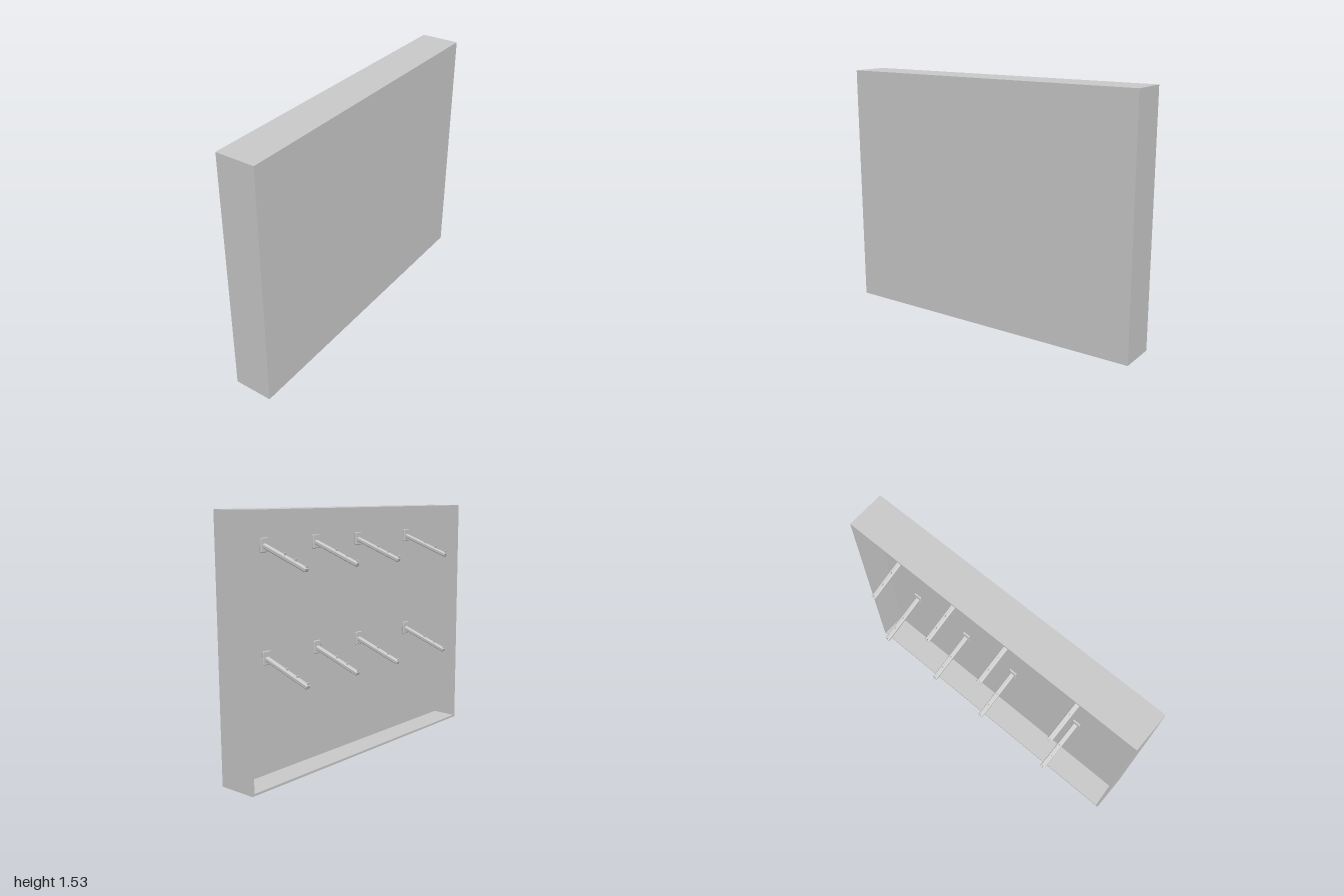
import * as THREE from 'three';
import { RoundedBoxGeometry } from 'three/addons/geometries/RoundedBoxGeometry.js';

const material = new THREE.MeshStandardMaterial({ color: 0xcccccc });

function addMesh(parent, name, geometry, x, y, z) {
  const mesh = new THREE.Mesh(geometry, material);
  mesh.name = name;
  mesh.position.set(x, y, z);
  parent.add(mesh);
  return mesh;
}

const HEIGHT = 1.535, LENGTH = 2;
const OPEN_X = -0.04, BACK_X = 0.125, OUTER_X = 0.205; // rim, inner panel face, outer face
const WALL = 0.014;

// Shallow tray standing on edge, open towards -x
function createCase() {
  const group = new THREE.Group();
  group.name = 'case';
  const shape = new THREE.Shape();
  const hole = new THREE.Path();
  const rect = (path, w, y0, y1) => {
    path.moveTo(-w, y0);
    path.lineTo(w, y0);
    path.lineTo(w, y1);
    path.lineTo(-w, y1);
    path.closePath();
  };
  rect(shape, LENGTH / 2, 0, HEIGHT);
  rect(hole, LENGTH / 2 - WALL, WALL, HEIGHT - WALL);
  shape.holes.push(hole);
  const rim = new THREE.ExtrudeGeometry(shape, { depth: BACK_X - OPEN_X, bevelEnabled: false });
  rim.rotateY(Math.PI / 2);
  addMesh(group, 'rimWalls', rim, OPEN_X, 0, 0);
  addMesh(group, 'backPanel', new THREE.BoxGeometry(OUTER_X - BACK_X, HEIGHT, LENGTH),
    (BACK_X + OUTER_X) / 2, HEIGHT / 2, 0);
  return group;
}

// Display arm sloping down and outwards, with a wall plate and small stop pegs
function createArm() {
  const group = new THREE.Group();
  group.name = 'displayArm';
  const length = 0.35, thick = 0.024, width = 0.03;
  addMesh(group, 'wallPlate', new RoundedBoxGeometry(0.014, 0.08, 0.056, 2, 0.004), -0.007, 0, 0);

  const sloped = new THREE.Group();
  sloped.name = 'slopedBar';
  sloped.rotation.z = THREE.MathUtils.degToRad(20);
  group.add(sloped);
  addMesh(sloped, 'bar', new RoundedBoxGeometry(length, thick, width, 2, 0.006), -length / 2, 0, 0);
  for (let i = 0; i < 3; i++) {
    addMesh(sloped, 'stopPeg', new THREE.CylinderGeometry(0.005, 0.005, 0.016, 10),
      -length + 0.008 + i * 0.085, thick / 2 + 0.006, 0);
  }
  return group;
}

export function createModel() {
  const model = new THREE.Group();
  model.name = 'wallDisplay';
  model.add(createCase());

  // Two rows of four arms
  for (const y of [0.702, 1.337]) {
    for (const z of [-0.725, -0.305, 0.085, 0.595]) {
      const arm = createArm();
      arm.position.set(BACK_X, y, z);
      model.add(arm);
    }
  }
  return model;
}
